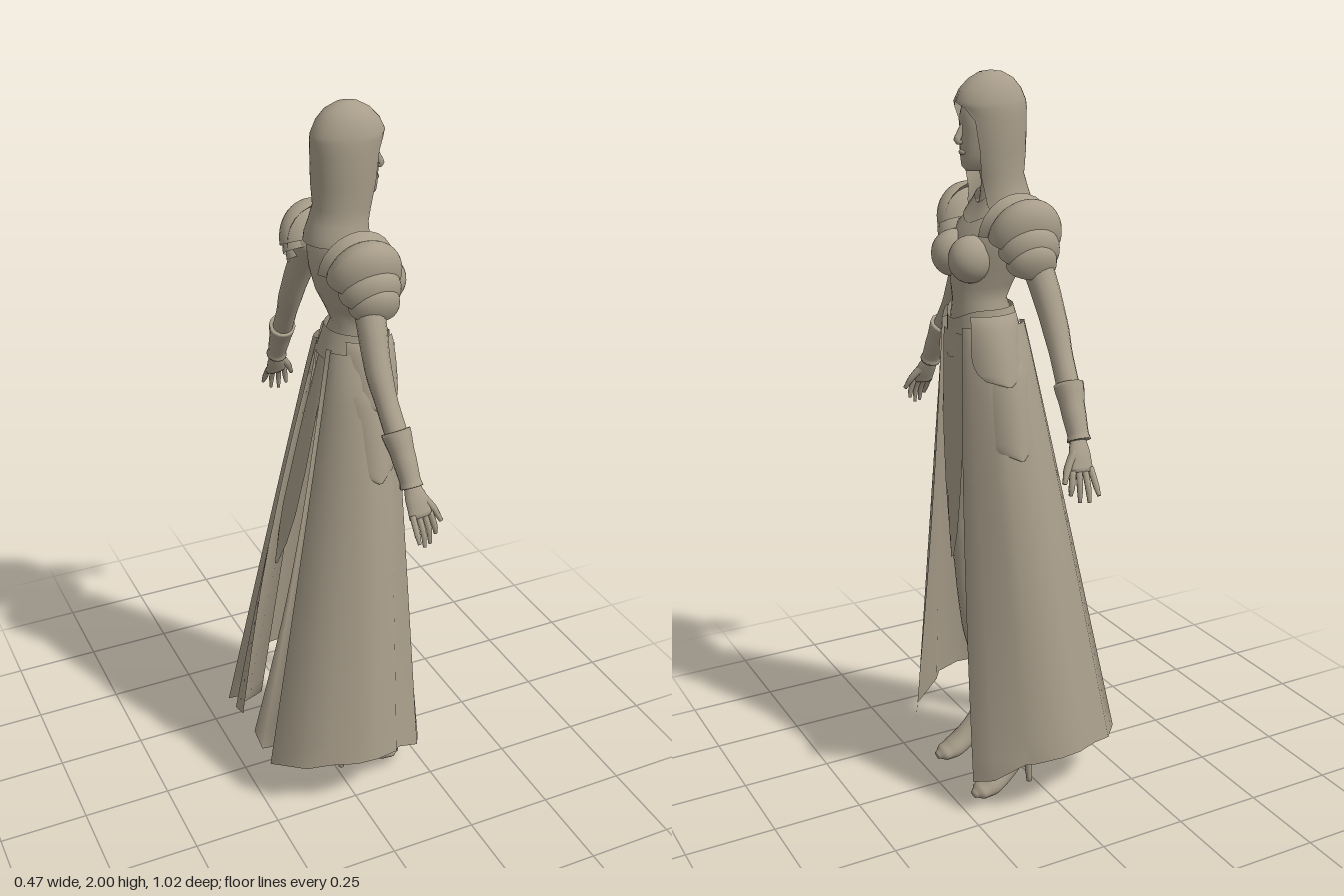
import * as THREE from 'three';

const stone = new THREE.MeshStandardMaterial({ color: 0xa89d8a, side: THREE.DoubleSide });
stone.name = 'warm stone';
const V = (x, y, z) => new THREE.Vector3(x, y, z);
const TAU = Math.PI * 2;

// Skin a surface over rows of points
function skin(rows, closed = false) {
  const n = rows[0].length, pos = [], idx = [];
  rows.forEach(r => r.forEach(p => pos.push(p.x, p.y, p.z)));
  for (let i = 0; i < rows.length - 1; i++)
    for (let j = 0; j < (closed ? n : n - 1); j++) {
      const k = (j + 1) % n, a = i * n + j, b = i * n + k;
      idx.push(a, b, a + n, b, b + n, a + n);
    }
  const g = new THREE.BufferGeometry();
  g.setAttribute('position', new THREE.Float32BufferAttribute(pos, 3));
  g.setIndex(idx);
  g.computeVertexNormals();
  return g;
}

// Stack of ellipses, top to bottom: [y, centreX, radiusX, radiusZ, front opening angle, front dip]
function stack(sections, seg = 28) {
  const open = sections.some(s => s[4]);
  return skin(sections.map(([y, cx, rx, rz, gap = 0, dip = 0]) =>
    Array.from({ length: open ? seg + 1 : seg }, (_, j) => {
      const a = gap + (TAU - 2 * gap) * j / seg;
      return V(cx + rx * Math.cos(a), y - dip * Math.max(0, Math.cos(a)) ** 4, rz * Math.sin(a));
    })), !open);
}

// Rounded limb along a path: [x, y, z, radius, second radius]
function limb(pts, seg = 14, steps = 20) {
  const curve = new THREE.CatmullRomCurve3(pts.map(p => V(p[0], p[1], p[2])));
  const rows = [];
  const ring = (t, size) => {
    const f = t * (pts.length - 1), i = Math.min(Math.floor(f), pts.length - 2), k = f - i;
    const rad = q => THREE.MathUtils.lerp(pts[i][q] ?? pts[i][3], pts[i + 1][q] ?? pts[i + 1][3], k * k * (3 - 2 * k)) * size;
    const c = curve.getPoint(t), T = curve.getTangent(t);
    const A = V(0, 0, 1).cross(T).normalize(), B = T.clone().cross(A);
    rows.push(Array.from({ length: seg }, (_, j) => {
      const p = c.clone().addScaledVector(A, rad(3) * Math.cos(TAU * j / seg)).addScaledVector(B, rad(4) * Math.sin(TAU * j / seg));
      p.y = Math.max(p.y, 0);
      return p;
    }));
  };
  ring(0, 0);
  for (let s = 0; s <= steps; s++) ring(s / steps, 1);
  ring(1, 0);
  return skin(rows, true);
}

function flip(geo) {
  const g = geo.clone().scale(1, 1, -1), ix = g.index.array;
  for (let i = 0; i < ix.length; i += 3) [ix[i], ix[i + 1]] = [ix[i + 1], ix[i]];
  g.computeVertexNormals();
  return g;
}

// Curved plate on the hip, narrowing to a round lower edge
function hipPlate(y0, y1, z0, z1, cx, rx, width) {
  const rows = [];
  for (let i = 0; i <= 12; i++) {
    const v = i / 12, w = width * (0.75 + 0.25 * v) * Math.sqrt(1.003 - v ** 5);
    rows.push(Array.from({ length: 15 }, (_, j) => {
      const a = Math.PI / 2 + w * (j / 7 - 1);
      return V(cx + rx * Math.cos(a), y0 + (y1 - y0) * v, (z0 + (z1 - z0) * v ** 0.7) * Math.sin(a));
    }));
  }
  return skin(rows);
}

// Hanging pointed cloth: [x, y, half width]
const cloth = rows => skin(rows.map(([x, y, w]) => [-1, -0.5, 0, 0.5, 1].map(u => V(x - Math.sign(x - 0.1) * 0.008 * u * u, y, -u * w))));

function shoulderDome(cx, cy, cz, rx, ry, rz, tilt) {
  const g = new THREE.SphereGeometry(1, 28, 12, 0, TAU, 0, Math.PI * 0.5);
  return g.scale(rx, ry, rz).rotateX(tilt).translate(cx, cy, cz);
}

export function createModel() {
  const model = new THREE.Group();
  const add = (name, geo) => {
    const m = new THREE.Mesh(geo, stone);
    m.name = name;
    model.add(m);
  };
  const pair = (name, geo) => {
    add(name + 'Left', flip(geo));
    add(name + 'Right', geo);
  };

  // Head, facing +x
  add('face', stack([
    [1.95, 0.08, 0.03, 0.02], [1.93, 0.085, 0.06, 0.045], [1.89, 0.09, 0.064, 0.054], [1.855, 0.092, 0.062, 0.054],
    [1.82, 0.095, 0.06, 0.05], [1.79, 0.1, 0.055, 0.042], [1.765, 0.11, 0.043, 0.028], [1.752, 0.115, 0.025, 0.014], [1.75, 0.11, 0.001, 0.001]]));
  add('nose', limb([[0.15, 1.87, 0, 0.005], [0.16, 1.845, 0, 0.009, 0.007], [0.166, 1.83, 0, 0.01, 0.009], [0.15, 1.823, 0, 0.004]], 10, 8));
  add('lips', new THREE.SphereGeometry(1, 12, 8).scale(0.008, 0.007, 0.015).translate(0.152, 1.8, 0));
  add('hood', stack([
    [2.0, 0.07, 0.001, 0.001], [1.996, 0.07, 0.03, 0.023], [1.98, 0.07, 0.06, 0.044], [1.955, 0.072, 0.083, 0.061], [1.925, 0.073, 0.097, 0.071, 0.01],
    [1.91, 0.07, 0.096, 0.073, 0.42], [1.88, 0.067, 0.092, 0.075, 0.68], [1.8, 0.065, 0.088, 0.074, 0.78], [1.74, 0.06, 0.078, 0.068, 0.68],
    [1.7, 0.05, 0.08, 0.073, 0.68], [1.67, 0.047, 0.087, 0.082, 0.75], [1.65, 0.047, 0.09, 0.084, 0.9]], 36));

  // Body
  add('torso', stack([
    [1.79, 0.075, 0.035, 0.034], [1.72, 0.06, 0.035, 0.034], [1.67, 0.055, 0.045, 0.045], [1.645, 0.055, 0.06, 0.1], [1.61, 0.062, 0.085, 0.13],
    [1.56, 0.075, 0.095, 0.115], [1.51, 0.085, 0.092, 0.1], [1.46, 0.1, 0.082, 0.08], [1.42, 0.107, 0.072, 0.07], [1.37, 0.1, 0.084, 0.085],
    [1.3, 0.093, 0.09, 0.1], [1.2, 0.088, 0.09, 0.115], [1.12, 0.09, 0.075, 0.1], [1.07, 0.09, 0.01, 0.01]]));
  pair('bust', new THREE.SphereGeometry(1, 24, 16).scale(0.06, 0.062, 0.052).translate(0.157, 1.535, -0.05));
  add('collar', stack([[1.7, 0.06, 0.05, 0.055, 0, 0.03], [1.675, 0.06, 0.062, 0.072, 0, 0.03], [1.65, 0.06, 0.08, 0.09, 0, 0.03]]));
  add('belt', stack([[1.405, 0.105, 0.086, 0.09, 0, 0.03], [1.37, 0.1, 0.092, 0.094, 0, 0.05], [1.33, 0.096, 0.1, 0.105, 0, 0.06]], 40));

  // Layered shoulder armour
  pair('shoulderPlateTop', shoulderDome(0.052, 1.595, -0.145, 0.1, 0.11, 0.065, -0.45));
  pair('shoulderPlateMiddle', shoulderDome(0.055, 1.56, -0.172, 0.083, 0.085, 0.055, -0.55));
  pair('shoulderPlateLower', shoulderDome(0.058, 1.53, -0.19, 0.068, 0.075, 0.045, -0.6));
  pair('shoulderFlange', skin([0, 0.5, 1].map(v => Array.from({ length: 13 }, (_, j) => {
    const a = Math.PI * j / 12;
    return V(0.053 + (0.08 + 0.025 * v) * Math.cos(a), 1.6 + (0.075 + 0.03 * v) * Math.sin(a), -0.145 + 0.05 * v - 0.02 * Math.sin(a));
  }))));

  // Arms and hands
  pair('arm', limb([[0.05, 1.61, -0.145, 0.045], [0.04, 1.5, -0.215, 0.038], [0.034, 1.4, -0.268, 0.034], [0.038, 1.32, -0.315, 0.029],
    [0.045, 1.24, -0.368, 0.029], [0.053, 1.14, -0.427, 0.021, 0.018]]));
  pair('bracer', limb([[0.042, 1.265, -0.355, 0.038], [0.048, 1.21, -0.388, 0.031], [0.052, 1.155, -0.42, 0.027], [0.053, 1.14, -0.428, 0.03]]));
  pair('palm', limb([[0.053, 1.15, -0.42, 0.02, 0.016], [0.06, 1.11, -0.443, 0.03, 0.016], [0.064, 1.07, -0.463, 0.032, 0.012]], 14, 8));
  for (let i = 0; i < 4; i++) {
    const x = 0.04 + i * 0.0165, reach = i === 1 || i === 2 ? 0 : 0.018;
    pair('finger' + (i + 1), limb([[x, 1.078, -0.462, 0.0085], [x + 0.003 * i, 1.04, -0.49 + 0.006 * i, 0.008],
      [x + 0.004 * i, 1.0 + reach, -0.505 + 0.011 * i, 0.005]], 8, 7));
  }
  pair('thumb', limb([[0.07, 1.12, -0.44, 0.013], [0.1, 1.085, -0.455, 0.01], [0.118, 1.05, -0.47, 0.006]], 8, 7));

  // Legs and heeled boots
  pair('leg', limb([[0.09, 1.22, -0.058, 0.075, 0.058], [0.1, 1.0, -0.068, 0.073, 0.058], [0.105, 0.78, -0.08, 0.056, 0.046],
    [0.1, 0.6, -0.088, 0.043, 0.034], [0.075, 0.44, -0.1, 0.045, 0.035], [0.05, 0.28, -0.111, 0.03, 0.025], [0.04, 0.16, -0.115, 0.026, 0.023]], 18, 36));
  pair('boot', limb([[0.035, 0.21, -0.114, 0.033, 0.029], [0.04, 0.14, -0.115, 0.037, 0.031], [0.085, 0.075, -0.116, 0.036, 0.03],
    [0.14, 0.03, -0.118, 0.03, 0.038], [0.175, 0.017, -0.119, 0.022, 0.034], [0.2, 0.01, -0.12, 0.009, 0.014]], 16, 24));
  pair('heel', limb([[0.025, 0.13, -0.115, 0.028, 0.025], [0.02, 0.06, -0.115, 0.011], [0.016, 0, -0.115, 0.008]], 10, 8));

  // Split skirt: each column is waist x, z; hem x, y, z; flare power; bulge
  const columns = [
    [0.188, 0.06, 0.235, 0.1, 0.19, 1.5, 0], [0.178, 0.075, 0.2, 0.125, 0.25, 1, 0], [0.155, 0.09, 0.12, 0.17, 0.283, 0.8, 0],
    [0.13, 0.098, 0.1, 0.18, 0.308, 0.72, 0], [0.09, 0.102, 0.03, 0.188, 0.325, 0.72, 0], [0.06, 0.1, -0.03, 0.188, 0.32, 0.72, 0],
    [0.03, 0.087, -0.1, 0.18, 0.285, 0.75, 0], [0.012, 0.07, -0.16, 0.168, 0.26, 0.85, 0], [0.002, 0.055, -0.235, 0.14, 0.165, 0.9, 0],
    [0.012, 0.045, -0.14, 0.16, 0.13, 1, 0], [0.006, 0.038, -0.235, 0.15, 0.105, 1.1, 0.02], [0.002, 0.03, -0.235, 0.17, 0.045, 1.3, 0.045]];
  const skirtRows = Array.from({ length: 19 }, (_, i) => {
    const t = i / 18;
    return columns.map(([wx, wz, hx, hy, hz, e, b]) =>
      V(wx + (hx - wx) * t, 1.36 + (hy - 1.36) * t, -(wz + (hz - wz) * t ** e + b * Math.sin(Math.PI * t))));
  });
  pair('skirt', skin(skirtRows.map(r => r.reverse())));
  add('frontPanel', cloth([[0.192, 1.34, 0.058], [0.195, 1.2, 0.06], [0.197, 1.05, 0.06], [0.2, 0.9, 0.045], [0.201, 0.78, 0.026], [0.202, 0.7, 0.001]]));
  add('backPanel', cloth([[0.005, 1.34, 0.03], [-0.035, 1.18, 0.035], [-0.07, 1.02, 0.042], [-0.103, 0.88, 0.042], [-0.125, 0.79, 0.03], [-0.142, 0.71, 0.001]]));

  // Overlapping hip plates
  pair('hipPlateLower', flip(hipPlate(1.27, 1.02, 0.14, 0.2, 0.085, 0.1, 0.95)));
  pair('hipPlateUpper', flip(hipPlate(1.39, 1.215, 0.1, 0.168, 0.105, 0.098, 1.0)));
  return model;
}
